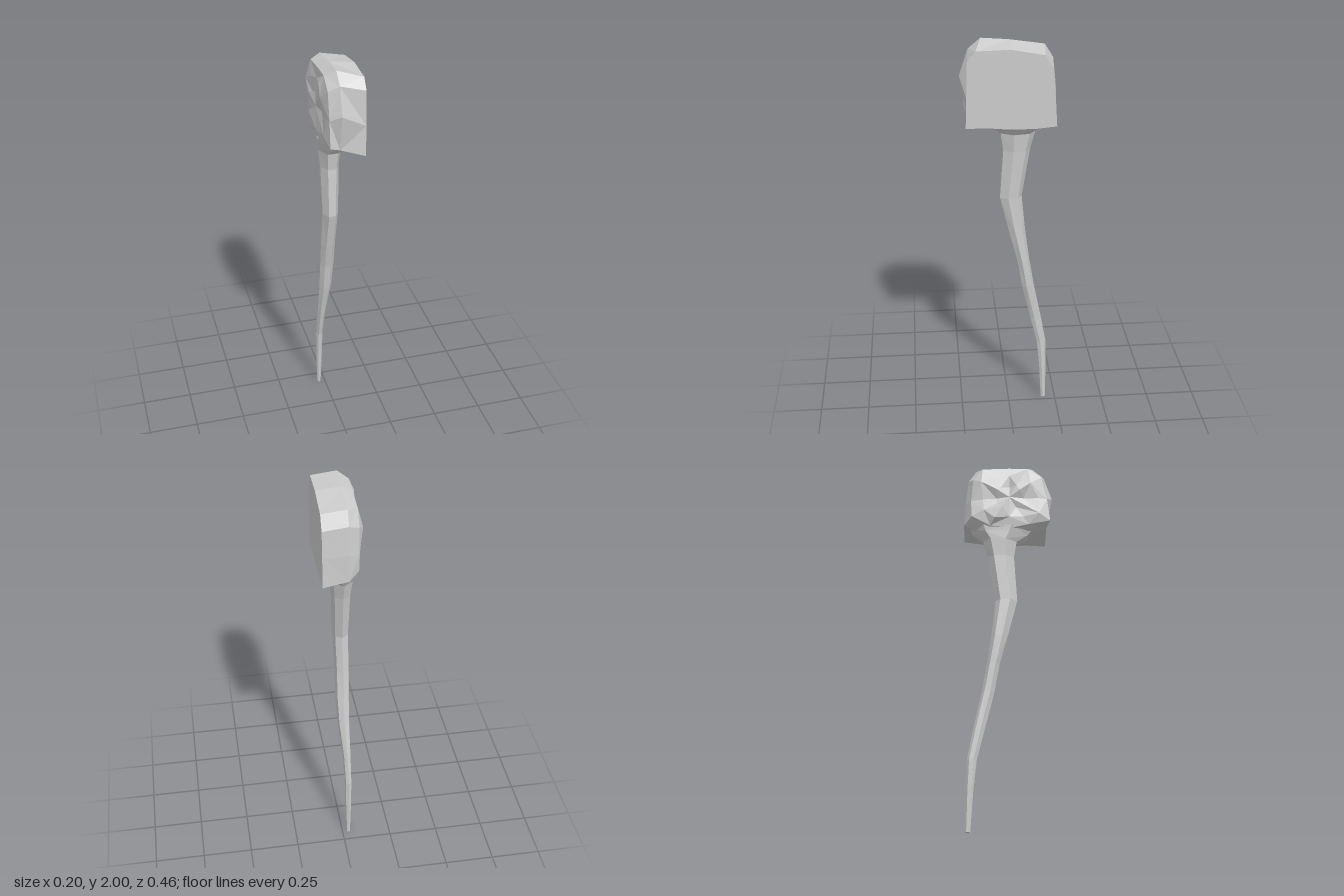
import * as THREE from 'three';

const material = new THREE.MeshStandardMaterial({ color: 0xcccccc, flatShading: true });

// Skin a series of equal-length rings and close both ends.
function loft(name, rings) {
  const pos = [];
  const tri = (...pts) => pts.forEach((p) => pos.push(...p));
  const centre = (ring) => [0, 1, 2].map((i) => ring.reduce((s, p) => s + p[i], 0) / ring.length);
  const n = rings[0].length;
  const last = rings.length - 1;
  const first = centre(rings[0]);
  const end = centre(rings[last]);
  for (let j = 0; j < n; j++) {
    const k = (j + 1) % n;
    for (let r = 0; r < last; r++) {
      const a = rings[r], b = rings[r + 1];
      if ((r + j) % 2) {
        tri(a[j], a[k], b[k]);
        tri(a[j], b[k], b[j]);
      } else {
        tri(a[j], a[k], b[j]);
        tri(a[k], b[k], b[j]);
      }
    }
    tri(rings[0][k], rings[0][j], first);
    tri(rings[last][j], rings[last][k], end);
  }
  const geometry = new THREE.BufferGeometry();
  geometry.setAttribute('position', new THREE.Float32BufferAttribute(pos, 3));
  geometry.computeVertexNormals();
  const mesh = new THREE.Mesh(geometry, material);
  mesh.name = name;
  return mesh;
}

// Head: [z, y] outlines, running from the flat cut side to the lumpy side.
const cutOutline = [[0.21, 1.6], [0.205, 1.75], [0.2, 1.92], [0.16, 1.97], [0, 1.975], [-0.16, 1.945],
  [-0.2, 1.88], [-0.21, 1.75], [-0.22, 1.6], [-0.12, 1.59], [0, 1.59], [0.11, 1.6]];
const midOutline = [[0.2, 1.64], [0.233, 1.82], [0.19, 1.95], [0.13, 2], [0, 1.99], [-0.17, 1.965],
  [-0.21, 1.9], [-0.225, 1.76], [-0.23, 1.63], [-0.12, 1.58], [0, 1.58], [0.1, 1.6]];
const lumpyOutline = [[0.215, 1.66], [0.2, 1.79], [0.17, 1.92], [0.1, 1.97], [0, 1.965], [-0.14, 1.95],
  [-0.19, 1.88], [-0.2, 1.75], [-0.195, 1.66], [-0.1, 1.61], [0, 1.6], [0.1, 1.63]];

function createHead() {
  const ring = (x, outline) => outline.map(([z, y]) => [x, y, z]);
  // Shrunken lumpy rings with rolling bumps close the rough side.
  const bumpy = (x, scale, bump) => lumpyOutline.map(([z, y], i) => {
    const s = scale * (1 + 0.1 * Math.sin(i * 2.3));
    return [x + bump * Math.sin(i * 1.9), 1.78 + (y - 1.78) * s, z * s];
  });
  return loft('head', [
    ring(0.1, cutOutline), ring(-0.02, midOutline), ring(-0.07, lumpyOutline),
    bumpy(-0.085, 0.72, 0.009), bumpy(-0.085, 0.35, 0.013),
  ]);
}

// Stem: [y, min x, max x, min z, max z] down the tapering, bending tail.
const stemSections = [
  [1.62, -0.08, 0.09, -0.2, 0.14], [1.585, -0.075, 0.085, -0.18, 0.11], [1.54, -0.07, 0.045, -0.13, 0.05],
  [1.45, -0.06, 0.035, -0.105, 0.035], [1.2, -0.055, 0.025, -0.065, 0.05], [1, -0.055, 0.02, -0.085, 0],
  [0.85, -0.052, 0.02, -0.105, -0.04], [0.7, -0.05, 0.013, -0.13, -0.065], [0.5, -0.05, -0.008, -0.17, -0.112],
  [0.35, -0.05, -0.014, -0.197, -0.148], [0.2, -0.048, -0.015, -0.2, -0.163], [0, -0.042, -0.022, -0.2, -0.175],
];

function createStem() {
  const sides = 7;
  return loft('stem', stemSections.map(([y, x0, x1, z0, z1]) =>
    Array.from({ length: sides }, (_, i) => {
      const t = (i / sides) * Math.PI * 2 + 0.2;
      return [(x0 + x1 + (x1 - x0) * Math.cos(t)) / 2, y, (z0 + z1 + (z1 - z0) * Math.sin(t)) / 2];
    })));
}

export function createModel() {
  const model = new THREE.Group();
  model.name = 'club';
  model.add(createHead(), createStem());
  return model;
}
